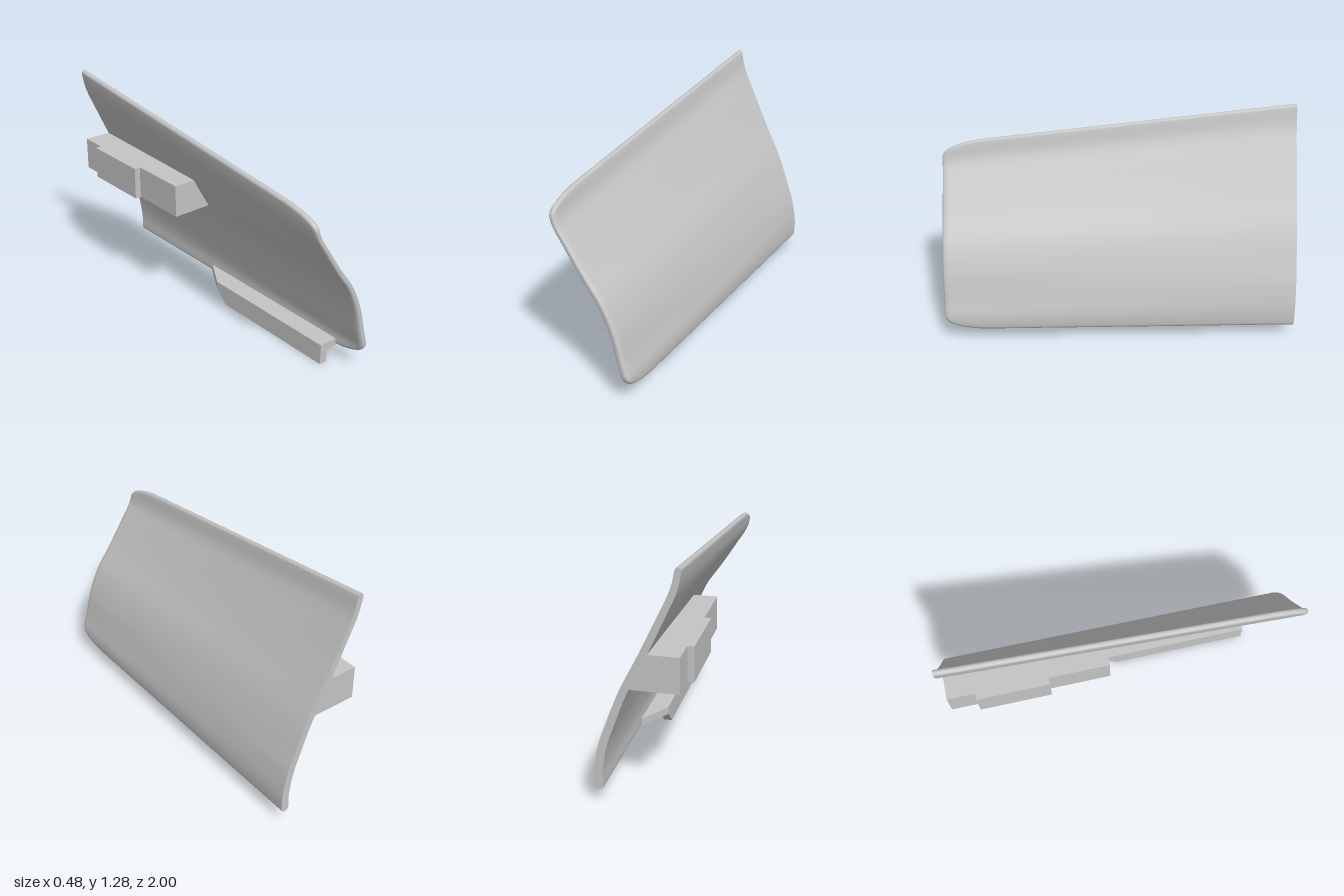
import * as THREE from 'three';

const grey = new THREE.MeshStandardMaterial({ color: 0xc4c4c4 });
grey.name = 'light grey';

// Centre line of the panel section: x, y at the front end, y at the back end
const SECTION = [
  [0.212, 0.10, 0.10], [0.214, 0.15, 0.18], [0.188, 0.245, 0.33],
  [0.148, 0.405, 0.445], [0.083, 0.555, 0.615], [-0.017, 0.697, 0.818],
  [-0.112, 0.842, 1.02], [-0.178, 0.95, 1.17], [-0.198, 1.04, 1.26],
];
const STEPS = 40, CAP = 5;

// Closed outline of the panel at depth z, counter-clockwise seen from the front
function panelSection(z) {
  const back = (1 - z) / 2;
  const curve = new THREE.CatmullRomCurve3(SECTION.map(([x, yf, yb]) =>
    new THREE.Vector3(x, THREE.MathUtils.lerp(yf, yb, back), 0)), false, 'centripetal');
  const len = curve.getLength();

  // Rounded front corners and rounded front rim
  const c = Math.max(0, (z - 0.75) / 0.25);
  const drop = 1 - Math.sqrt(Math.max(0, 1 - c * c));
  const u0 = 0.09 * drop / len, u1 = 1 - 0.07 * drop / len;
  const r = Math.max(0, (z - 0.97) / 0.03);
  const rim = 0.35 + 0.65 * Math.sqrt(Math.max(0, 1 - r * r));

  const outer = [], inner = [], ends = [];
  for (let i = 0; i <= STEPS; i++) {
    const f = i / STEPS, u = u0 + (u1 - u0) * f;
    const p = curve.getPointAt(u), t = curve.getTangentAt(u);
    const h = (0.023 - 0.006 * f) * rim;
    outer.push([p.x + t.y * h, p.y - t.x * h]);
    inner.unshift([p.x - t.y * h, p.y + t.x * h]);
    if (i === 0 || i === STEPS) ends.push({ p, t, h });
  }
  // Half-round edge at one end of the section
  const edge = ({ p, t, h }, s) => Array.from({ length: CAP }, (_, k) => {
    const a = Math.PI * (k + 1) / (CAP + 1);
    const n = Math.cos(a) * h * s, m = Math.sin(a) * h * s;
    return [p.x + t.y * n + t.x * m, p.y - t.x * n + t.y * m];
  });
  return [...outer, ...edge(ends[1], 1), ...inner, ...edge(ends[0], -1)];
}

function panelGeometry() {
  const depths = [];
  for (let i = 0; i <= 14; i++) depths.push(-1 + 1.75 * i / 14);
  depths.push(0.8, 0.85, 0.89, 0.92, 0.945, 0.96, 0.97, 0.98, 0.988, 0.994, 0.998, 1);
  const loops = depths.map(panelSection);
  const n = loops[0].length, pos = [], index = [];
  loops.forEach((loop, i) => loop.forEach(([x, y]) => pos.push(x, y, depths[i])));

  // Skin between neighbouring sections
  for (let i = 0; i < loops.length - 1; i++) {
    for (let j = 0; j < n; j++) {
      const a = i * n + j, b = i * n + (j + 1) % n;
      index.push(a, b, b + n, a, b + n, a + n);
    }
  }
  // Flat end faces
  for (const i of [0, loops.length - 1]) {
    const base = pos.length / 3;
    loops[i].forEach(([x, y]) => pos.push(x, y, depths[i]));
    const contour = loops[i].map(([x, y]) => new THREE.Vector2(x, y));
    for (const [a, b, c] of THREE.ShapeUtils.triangulateShape(contour, [])) {
      if (i === 0) index.push(base + a, base + c, base + b);
      else index.push(base + a, base + b, base + c);
    }
  }
  const g = new THREE.BufferGeometry();
  g.setAttribute('position', new THREE.Float32BufferAttribute(pos, 3));
  g.setIndex(index);
  g.computeVertexNormals();
  return g;
}

// Straight prism from an outline
function prism(points, depth) {
  const shape = new THREE.Shape(points.map(([x, y]) => new THREE.Vector2(x, y)));
  return new THREE.ExtrudeGeometry(shape, { depth, bevelEnabled: false });
}

export function createModel() {
  const group = new THREE.Group();
  group.name = 'curvedPanel';
  const add = (name, geometry) => {
    const mesh = new THREE.Mesh(geometry, grey);
    mesh.name = name;
    group.add(mesh);
  };

  add('panel', panelGeometry());

  // Upper mounting block, flush with the back end, with a raised pad
  add('upperBlock', prism(
    [[-0.207, 0.643], [0.055, 0.643], [-0.045, 0.833], [-0.207, 0.833]], 0.9)
    .translate(0, 0, -1));
  add('upperPad', new THREE.BoxGeometry(0.036, 0.19, 0.405)
    .translate(-0.225, 0.738, -0.6425));

  // Lower bracket: flat arm with a slanted back end
  add('lowerArm', prism(
    [[0.078, -0.805], [0.208, -0.805], [0.208, 0.29], [0.078, 0.08]], 0.044)
    .rotateX(-Math.PI / 2).translate(0, 0.078, 0));
  // Lower bracket: hanging lip with a chamfered back corner
  add('lowerLip', prism(
    [[-0.805, 0], [0, 0], [0.08, 0.078], [-0.805, 0.078]], 0.047)
    .rotateY(Math.PI / 2).translate(0.078, 0, 0));

  return group;
}
